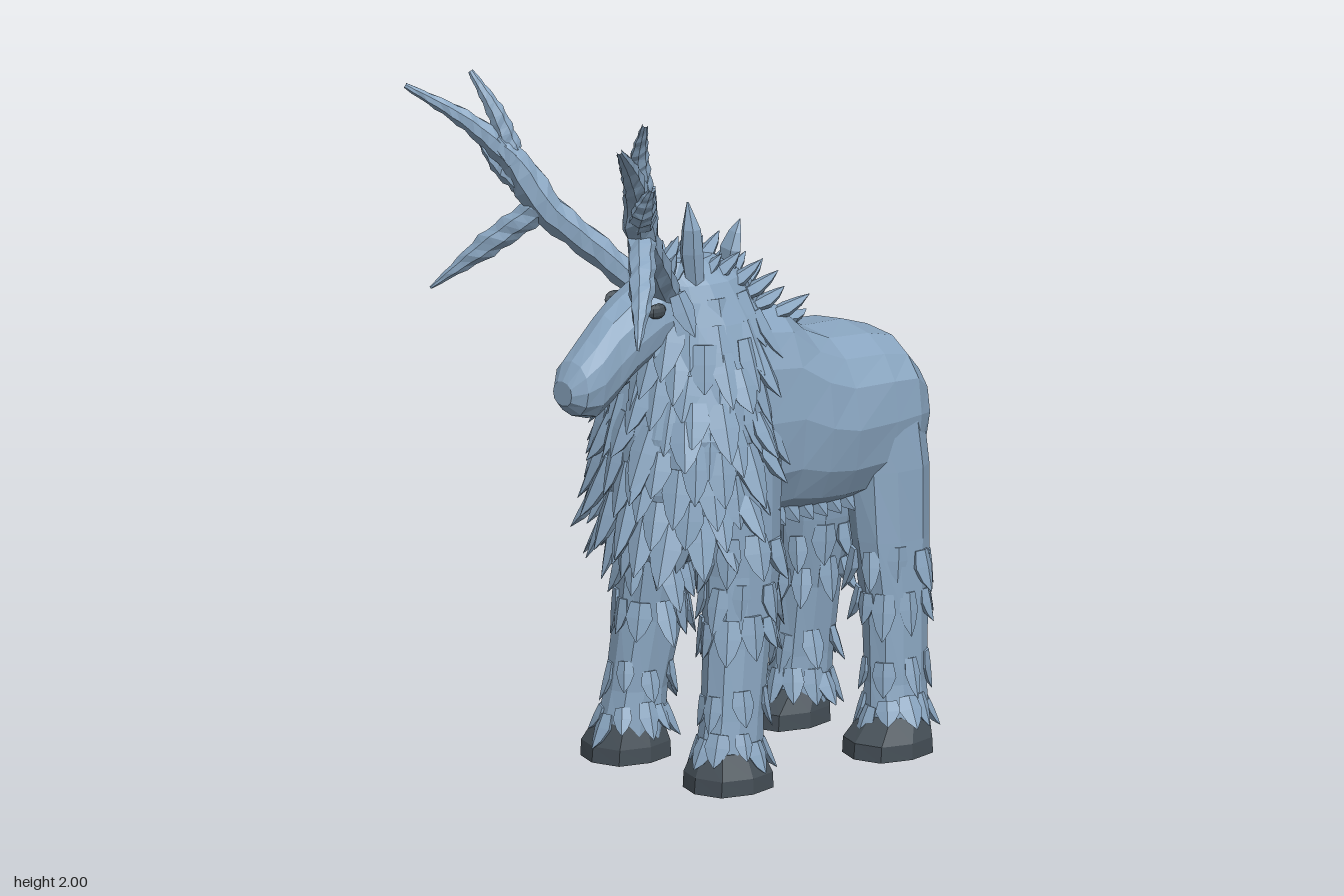
import * as THREE from 'three';
import { mergeGeometries } from 'three/addons/utils/BufferGeometryUtils.js';

let seed = 7;
const rand = (a = 0, b = 1) => {
  seed = (seed * 16807) % 2147483647;
  return a + (b - a) * (seed / 2147483647);
};
const V = (x, y, z) => new THREE.Vector3(x, y, z);
const lerp = THREE.MathUtils.lerp;

// Separate faces so every facet is flat
function facet(geo) {
  const g = geo.index ? geo.toNonIndexed() : geo;
  g.deleteAttribute('uv');
  g.computeVertexNormals();
  return g;
}

// Closed skin over elliptical rings [x, y, z, radiusA, radiusB] along 'y' or 'z'
function loft(axis, rings, n = 12, power = 1, wobble = 0) {
  const pos = [], idx = [];
  const bend = (v) => Math.sign(v) * Math.abs(v) ** power;
  for (const [x, y, z, a, b] of rings) {
    for (let j = 0; j < n; j++) {
      const t = (j / n) * Math.PI * 2, k = 1 + rand(-wobble, wobble);
      const u = bend(Math.sin(t)) * a * k, v = bend(Math.cos(t)) * b * k;
      pos.push(x + u, axis === 'z' ? y + v : y, axis === 'z' ? z : z + v);
    }
  }
  const last = rings.length - 1;
  // y-lofts run upward, z-lofts run backward
  const tri = (a, b, c) => idx.push(a, b, c);
  for (let i = 0; i < last; i++) {
    for (let j = 0; j < n; j++) {
      const a = i * n + j, b = i * n + ((j + 1) % n);
      tri(a, b, a + n);
      tri(b, b + n, a + n);
    }
  }
  for (const end of [0, last]) {
    const c = pos.length / 3;
    pos.push(...rings[end].slice(0, 3));
    for (let j = 0; j < n; j++) {
      const a = end * n + j, b = end * n + ((j + 1) % n);
      if (end) tri(a, b, c); else tri(b, a, c);
    }
  }
  const g = new THREE.BufferGeometry();
  g.setAttribute('position', new THREE.Float32BufferAttribute(pos, 3));
  g.setIndex(idx);
  return facet(g);
}

// Leaf-shaped lock of hair, growing along dir with its tip curling outward
const lock = loft('y', [[0, 0, 0, 0.75, 0.75], [0, 0.4, 0, 1, 1], [0, 0.75, 0.5, 0.6, 0.6], [0, 1, 1.1, 0.04, 0.04]], 5);
function tuft(base, dir, out, length, width, depth = 0.5) {
  const y = dir.clone().normalize();
  const x = y.clone().cross(out).normalize();
  const z = x.clone().cross(y);
  const m = new THREE.Matrix4().makeBasis(x.multiplyScalar(width), y.multiplyScalar(length), z.multiplyScalar(width * depth));
  return lock.clone().applyMatrix4(m.setPosition(base));
}

// Interpolated ring of a vertical loft at height y
function ringAt(rings, y) {
  let i = 0;
  while (i < rings.length - 2 && rings[i + 1][1] < y) i++;
  const t = (y - rings[i][1]) / (rings[i + 1][1] - rings[i][1]);
  return rings[i].map((v, k) => lerp(v, rings[i + 1][k], t));
}

// One row of locks hanging from a vertical loft
function fringe(rings, y, count, length, width, flare, shift = 0) {
  const [x, , z, a, b] = ringAt(rings, y);
  return Array.from({ length: count }, (_, j) => {
    const t = ((j + shift + rand(-0.2, 0.2)) / count) * Math.PI * 2;
    const out = V(Math.sin(t) / a, 0, Math.cos(t) / b).normalize();
    const base = V(x + Math.sin(t) * a * 0.95, y + rand(-0.02, 0.02), z + Math.cos(t) * b * 0.95);
    const dir = out.clone().multiplyScalar(flare + rand(-0.1, 0.1)).add(V(rand(-0.15, 0.15), -1, 0));
    return tuft(base, dir, out, length * rand(0.8, 1.2), width * rand(0.8, 1.15));
  });
}

// Tapered, knobbly antler branch
function branch(points, radii) {
  const curve = new THREE.CatmullRomCurve3(points.map((p) => V(...p)));
  const seg = 14, n = 7;
  const g = new THREE.TubeGeometry(curve, seg, 1, n);
  const p = g.attributes.position, q = V(0, 0, 0);
  for (let i = 0; i <= seg; i++) {
    const c = curve.getPointAt(i / seg);
    const f = (i / seg) * (radii.length - 1), k = Math.min(Math.floor(f), radii.length - 2);
    const r = lerp(radii[k], radii[k + 1], f - k);
    for (let j = 0; j <= n; j++) {
      const at = i * (n + 1) + j;
      const bump = 1 + 0.1 * Math.sin(i * 2.3 + (j % n) * 1.8);
      q.fromBufferAttribute(p, at).sub(c).multiplyScalar(r * bump).add(c);
      p.setXYZ(at, q.x, q.y, q.z);
    }
  }
  return facet(g);
}

export function createModel() {
  const model = new THREE.Group();
  const coat = new THREE.MeshStandardMaterial({ color: 0x8aa6c1 });
  coat.name = 'blue grey coat';
  const dark = new THREE.MeshStandardMaterial({ color: 0x465058 });
  dark.name = 'dark hoof';
  const add = (name, geo, mat = coat) => {
    const mesh = new THREE.Mesh(Array.isArray(geo) ? mergeGeometries(geo) : geo, mat);
    mesh.name = name;
    model.add(mesh);
    return mesh;
  };

  // Torso, chest to rump
  add('torso', loft('z', [
    [0, 0.98, 0.15, 0.19, 0.28], [0, 1.01, -0.05, 0.22, 0.33], [0, 1.005, -0.18, 0.23, 0.315],
    [0, 0.965, -0.27, 0.24, 0.275], [0, 0.945, -0.36, 0.245, 0.255], [0, 0.945, -0.5, 0.245, 0.245],
    [0, 0.95, -0.59, 0.235, 0.215], [0, 0.94, -0.65, 0.2, 0.15], [0, 0.93, -0.685, 0.12, 0.08],
  ], 16, 0.8, 0.015));

  // Neck and chest under the mane
  const neck = [
    [0, 0.62, 0.12, 0.08, 0.09], [0, 0.72, 0.1, 0.19, 0.17], [0, 0.84, 0.08, 0.24, 0.21], [0, 1.0, 0.07, 0.255, 0.22],
    [0, 1.15, 0.04, 0.225, 0.2], [0, 1.3, 0.02, 0.175, 0.18], [0, 1.41, 0.04, 0.12, 0.15], [0, 1.47, 0.07, 0.06, 0.09],
  ];
  add('neck', loft('y', neck, 14, 1, 0.03));

  // Mane: overlapping rows of locks
  const mane = [];
  for (let r = 0; r < 10; r++) {
    const y = 0.77 + r * 0.068;
    mane.push(...fringe(neck, y, r > 7 ? 11 : 17, 0.16, 0.046, 0.3, r % 2 ? 0.5 : 0));
  }
  add('mane', mane);

  // Raised locks along the crest, and the beard below the chest
  const crest = [];
  for (let i = 0; i < 8; i++) {
    const z = 0.16 - i * 0.045, y = 1.44 - Math.max(0, i - 3) * 0.032;
    for (const s of [-1, 0, 1]) {
      crest.push(tuft(V(s * (0.025 + i * 0.011), y - Math.abs(s) * 0.03, z),
        V(s * 0.35, 0.6 - i * 0.05, -0.65), V(s * 0.2, 1, 0.2), rand(0.09, 0.13), 0.034));
    }
  }
  crest.push(tuft(V(0.03, 1.42, -0.06), V(0.1, 1, -0.1), V(0, 0, -1), 0.14, 0.04));
  add('crest', crest);
  add('beard', [-0.09, 0, 0.09].map((x) =>
    tuft(V(x, 0.72, 0.16), V(x * 0.2, -1, -0.1), V(0, 0, 1), x ? 0.12 : 0.19, 0.05)));

  // Belly and back locks
  const belly = [];
  for (let i = 0; i < 6; i++) for (const s of [-1, 1]) {
    belly.push(tuft(V(s * 0.12, 0.77, -0.12 - i * 0.05), V(s * 0.1, -0.7, -0.5), V(s, -0.5, 0), 0.1, 0.035));
  }
  add('bellyFur', belly);
  add('backTuft', tuft(V(0, 1.23, -0.27), V(0, -0.1, -1), V(0, 1, 0), 0.1, 0.04));

  // Head, muzzle tip to nape
  add('head', loft('z', [
    [0, 1.15, 0.508, 0.04, 0.035], [0, 1.16, 0.475, 0.073, 0.078], [0, 1.178, 0.42, 0.082, 0.112],
    [0, 1.225, 0.36, 0.08, 0.125], [0, 1.275, 0.3, 0.092, 0.115], [0, 1.32, 0.22, 0.1, 0.11], [0, 1.34, 0.1, 0.1, 0.1],
  ].map((r) => r), 12, 0.9));

  for (const s of [-1, 1]) {
    const side = s > 0 ? 'left' : 'right';

    // Eyes
    const eye = add(side + 'Eye', facet(new THREE.SphereGeometry(1, 8, 6)), dark);
    eye.scale.set(0.014, 0.022, 0.032);
    eye.position.set(s * 0.094, 1.36, 0.245);

    // Hair over the cheeks and brow
    add(side + 'CheekFur', [0, 1, 2, 3].map((i) =>
      tuft(V(s * 0.1, 1.4 - i * 0.055, 0.18 - i * 0.01), V(s * 0.25, -1, -0.25), V(s, 0, 0.2), 0.13, 0.035)));
    add(side + 'BrowFur', tuft(V(s * 0.05, 1.41, 0.2), V(s * 0.3, 0.8, -0.4), V(0, 0.4, 1), 0.11, 0.03));

    // Antlers
    const P = (x, y, z) => [s * x, y, z];
    add(side + 'Antler', [
      branch([P(0.05, 1.38, 0.17), P(0.12, 1.49, 0.27), P(0.21, 1.63, 0.4), P(0.25, 1.72, 0.44), P(0.3, 1.82, 0.5)], [0.04, 0.042, 0.045, 0.05, 0.028]),
      branch([P(0.21, 1.63, 0.4), P(0.32, 1.52, 0.49), P(0.445, 1.38, 0.61)], [0.04, 0.036, 0.004]),
      branch([P(0.27, 1.76, 0.46), P(0.35, 1.87, 0.56), P(0.46, 1.97, 0.69)], [0.04, 0.026, 0.008]),
      branch([P(0.28, 1.78, 0.46), P(0.31, 1.89, 0.49), P(0.375, 2.0, 0.525)], [0.036, 0.025, 0.008]),
      branch([P(0.23, 1.67, 0.42), P(0.31, 1.74, 0.47), P(0.375, 1.81, 0.5)], [0.04, 0.034, 0.008]),
    ]);

    // Legs with shaggy fur at knee and ankle
    const legs = {
      Front: [[0.21, 0.06, 0.09, 0.085, 0.1], [0.205, 0.2, 0.07, 0.077, 0.09], [0.19, 0.4, 0.04, 0.082, 0.1], [0.175, 0.6, 0.015, 0.095, 0.115], [0.165, 0.92, 0.01, 0.1, 0.13]],
      Hind: [[0.215, 0.06, -0.515, 0.085, 0.095], [0.2, 0.2, -0.525, 0.075, 0.09], [0.185, 0.4, -0.535, 0.08, 0.092], [0.16, 0.6, -0.54, 0.095, 0.115], [0.145, 0.8, -0.54, 0.105, 0.125], [0.125, 1.0, -0.53, 0.105, 0.12]],
    };
    for (const [which, rings] of Object.entries(legs)) {
      const leg = rings.map(([x, ...rest]) => [s * x, ...rest]);
      const name = side + which;
      add(name + 'Leg', loft('y', leg, 10, 0.9, 0.03));
      const fur = [
        ...fringe(leg, 0.15, 10, 0.09, 0.034, 0.3),
        ...fringe(leg, 0.27, 7, 0.1, 0.032, 0.1, 0.5),
        ...fringe(leg, 0.47, 9, 0.11, 0.036, 0.12),
        ...fringe(leg, 0.57, 8, 0.12, 0.036, 0.1, 0.5),
      ];
      if (which === 'Front') fur.push(...fringe(leg, 0.7, 9, 0.14, 0.042, 0.1));
      add(name + 'LegFur', fur);

      // Hoof, longer towards the toe
      const z = which === 'Front' ? 0.095 : -0.48, back = which === 'Front' ? 0.09 : -0.515;
      add(name + 'Hoof', loft('y', [
        [s * 0.22, 0, z, 0.108, 0.122], [s * 0.22, 0.045, z, 0.108, 0.118], [s * 0.212, 0.11, back, 0.08, 0.09],
      ], 8, 0.75), dark);
    }
  }

  // Upright ears: a blunt one on the right, a pointed one on the left
  add('rightEar', loft('y', [[-0.09, 1.36, 0.11, 0.022, 0.028], [-0.1, 1.5, 0.115, 0.024, 0.037], [-0.105, 1.6, 0.115, 0.023, 0.036], [-0.105, 1.65, 0.115, 0.022, 0.03]], 6));
  add('leftEar', loft('y', [[0.075, 1.36, 0.09, 0.025, 0.025], [0.075, 1.5, 0.105, 0.035, 0.034], [0.08, 1.57, 0.11, 0.028, 0.028], [0.07, 1.645, 0.115, 0.003, 0.003]], 6));
  return model;
}
